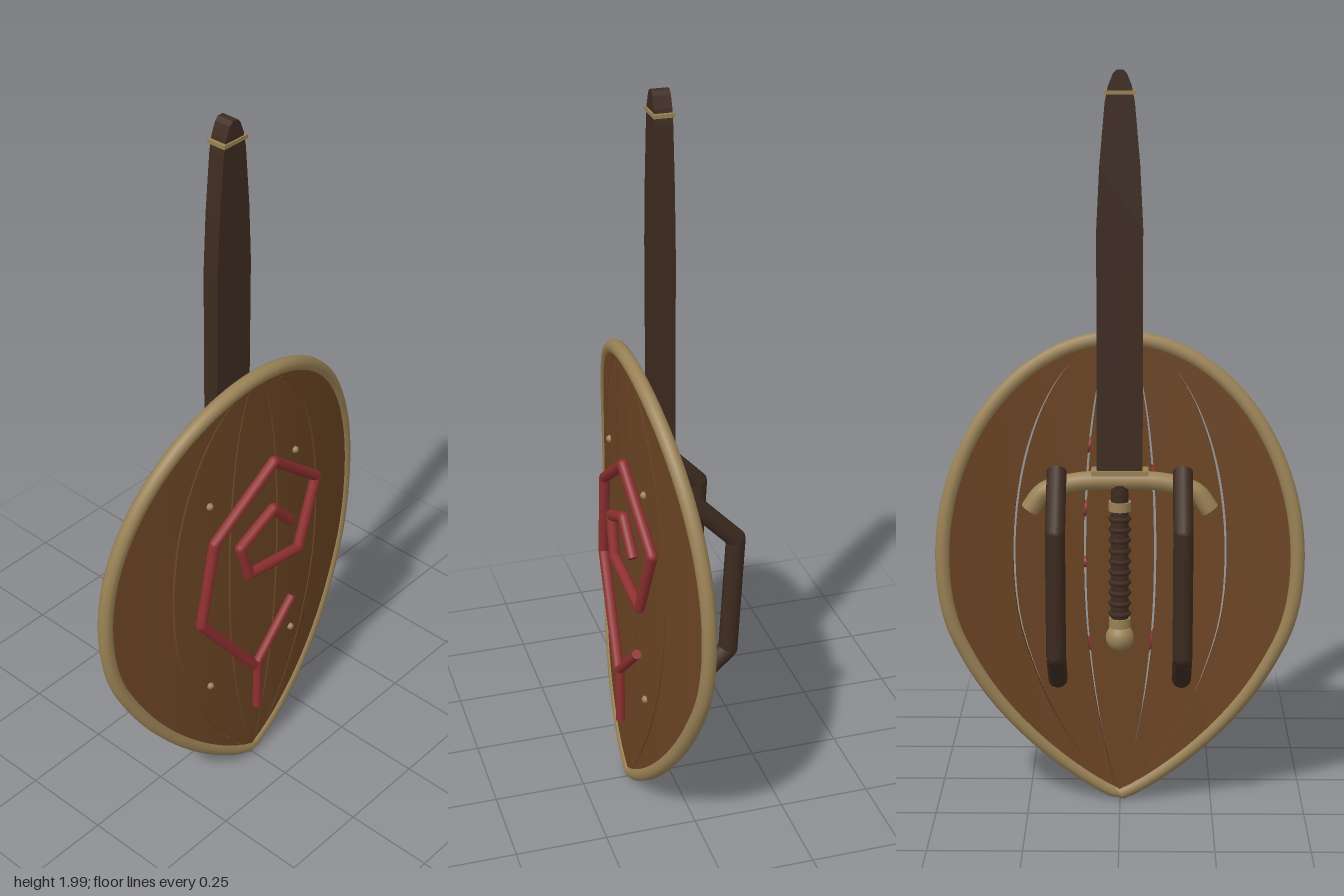
import * as THREE from 'three';
import { toCreasedNormals } from 'three/addons/utils/BufferGeometryUtils.js';

const makeMat = (name, color) => {
  const m = new THREE.MeshStandardMaterial({ color });
  m.name = name;
  return m;
};
const V = (x, y, z) => new THREE.Vector3(x, y, z);

// Shield outline half-width at angle a (-PI/2 bottom .. PI/2 top), and its sideways bow
const MID = 0.72, HALF = 0.472;
const outline = (a) => {
  const c = Math.max(0, Math.cos(a)), s = Math.sin(a);
  return s >= 0
    ? { x: HALF * c, y: MID + 0.585 * s }
    : { x: HALF * Math.pow(c, 1 + 0.7 * Math.min(1, -s * 2.5)), y: MID + 0.69 * s };
};
const bow = (x) => 0.11 - 0.33 * x * x;

// One curved plank between two fractions of the shield width
function plankGeometry(u0, u1) {
  const rows = 40, cols = 6, t = 0.012, ring = 2 * (cols + 1);
  const pos = [], idx = [];
  for (let i = 0; i <= rows; i++) {
    const o = outline((-0.485 + 0.97 * i / rows) * Math.PI);
    for (let j = 0; j < ring; j++) {
      const front = j <= cols;
      const f = front ? j / cols : (ring - 1 - j) / cols;
      const x = o.x * (u0 + (u1 - u0) * f);
      pos.push(x, o.y, bow(x) + (front ? t : -t));
    }
  }
  for (let i = 0; i < rows; i++) {
    for (let j = 0; j < ring; j++) {
      const a = i * ring + j, b = i * ring + (j + 1) % ring;
      idx.push(a, b, b + ring, a, b + ring, a + ring);
    }
  }
  const g = new THREE.BufferGeometry();
  g.setAttribute('position', new THREE.Float32BufferAttribute(pos, 3));
  g.setIndex(idx);
  return toCreasedNormals(g, 0.6);
}

export function createModel() {
  const wood = makeMat('shield wood', 0x6b4423);
  const bone = makeMat('pale trim', 0x9a8256);
  const leather = makeMat('dark leather', 0x3d2b20);
  const red = makeMat('red paint', 0x8e3030);

  const model = new THREE.Group();
  model.name = 'shieldAndSword';
  const group = (name) => {
    const g = new THREE.Group();
    g.name = name;
    model.add(g);
    return g;
  };
  const add = (parent, name, geo, mat, x = 0, y = 0, z = 0) => {
    const m = new THREE.Mesh(geo, mat);
    m.name = name;
    m.position.set(x, y, z);
    parent.add(m);
    return m;
  };
  // Straight round bar between two points
  const rod = (parent, name, a, b, r, mat, sides = 12) => {
    const d = b.clone().sub(a);
    const m = add(parent, name, new THREE.CylinderGeometry(r, r, d.length(), sides), mat);
    m.position.copy(a).addScaledVector(d, 0.5);
    m.quaternion.setFromUnitVectors(V(0, 1, 0), d.normalize());
  };
  // Bars joined by round elbows
  const polyRod = (parent, name, pts, r, mat) => {
    for (let i = 0; i < pts.length - 1; i++) {
      rod(parent, name, pts[i], pts[i + 1], r, mat);
      if (i > 0) add(parent, name + 'Elbow', new THREE.SphereGeometry(r, 12, 8), mat, ...pts[i].toArray());
    }
  };

  // Shield planks with narrow gaps
  const shield = group('shield');
  const seams = [-1, -0.6, -0.2, 0.2, 0.6, 1];
  for (let i = 0; i < 5; i++) {
    add(shield, 'plank', plankGeometry(seams[i] + 0.007, seams[i + 1] - 0.007), wood);
  }

  // Rim
  const rimPts = [];
  for (let i = 0; i < 64; i++) {
    const a = i / 64 * Math.PI * 2;
    const side = Math.cos(a) >= 0 ? 1 : -1;
    const o = outline(Math.asin(Math.sin(a)));
    rimPts.push(V(side * o.x, o.y, bow(o.x)));
  }
  const rimCurve = new THREE.CatmullRomCurve3(rimPts, true);
  add(shield, 'rim', new THREE.TubeGeometry(rimCurve, 128, 0.02, 10, true), bone);

  // Rivets
  for (const x of [-0.165, 0.165]) {
    for (const y of [0.38, 1.0]) {
      add(shield, 'rivet', new THREE.SphereGeometry(0.01, 10, 8), bone, x, y, bow(x) + 0.014);
    }
  }

  // Raised spiral emblem following the bowed face
  const emblem = group('spiralEmblem');
  const onFace = ([x, y]) => V(x, y, bow(x) + 0.03);
  const spiral = [[-0.015, 0.37], [-0.21, 0.635], [-0.165, 0.885], [0.053, 1.035], [0.25, 0.868],
    [0.17, 0.672], [-0.04, 0.712], [-0.073, 0.82], [0.053, 0.88], [0.127, 0.797]];
  polyRod(emblem, 'spiralBar', spiral.map(onFace), 0.015, red);
  polyRod(emblem, 'forkBar', [[0, 0.21], [0, 0.375], [0.148, 0.515]].map(onFace), 0.013, red);

  // Carrying handles on the back
  for (const x of [-0.165, 0.165]) {
    const pts = [[0.97, 0], [0.835, -0.132], [0.5, -0.115], [0.4, -0.005]].map(([y, z]) => V(x, y, z));
    polyRod(group('backHandle'), 'handleBar', pts, 0.026, leather);
  }

  // Scabbard, point up
  const sword = group('sword');
  const Z = 0.023;
  const half = [[0.06, 0.96], [0.06, 1.6], [0.052, 1.76], [0.038, 1.92], [0.03, 1.96], [0.018, 1.99], [0.008, 2.0]];
  const outlinePts = [...half, ...half.map(([x, y]) => [-x, y]).reverse()];
  const blade = new THREE.Shape(outlinePts.map(([x, y]) => new THREE.Vector2(x, y)));
  add(sword, 'scabbard', new THREE.ExtrudeGeometry(blade, { depth: 0.046, bevelEnabled: false }), leather, 0, 0, Z - 0.023);
  add(sword, 'scabbardMouth', new THREE.BoxGeometry(0.15, 0.014, 0.056), bone, 0, 0.963, Z);
  add(sword, 'scabbardTipBand', new THREE.BoxGeometry(0.082, 0.01, 0.054), bone, 0, 1.945, Z);

  // Drooping crossguard
  const guard = new THREE.CatmullRomCurve3(
    [[-0.238, 0.86], [-0.2, 0.91], [-0.11, 0.936], [0, 0.94], [0.11, 0.936], [0.2, 0.91], [0.238, 0.86]]
      .map(([x, y]) => V(x, y, Z)));
  add(sword, 'crossguard', new THREE.TubeGeometry(guard, 32, 0.025, 12), bone);
  for (const [a, b] of [[0, 0.03], [1, 0.97]]) {
    rod(sword, 'crossguardEnd', guard.getPointAt(a), guard.getPointAt(b), 0.025, bone);
  }

  // Wrapped grip, ferrule and pommel
  add(sword, 'grip', new THREE.CylinderGeometry(0.024, 0.024, 0.4, 14), leather, 0, 0.73, Z);
  for (let i = 0; i < 10; i++) {
    const wrap = add(sword, 'gripWrap', new THREE.TorusGeometry(0.024, 0.007, 6, 16), leather, 0, 0.575 + i * 0.029, Z);
    wrap.rotation.x = Math.PI / 2;
  }
  add(sword, 'ferrule', new THREE.CylinderGeometry(0.03, 0.03, 0.025, 14), bone, 0, 0.87, Z);
  add(sword, 'pommelCollar', new THREE.CylinderGeometry(0.029, 0.029, 0.025, 14), bone, 0, 0.55, Z);
  add(sword, 'pommel', new THREE.SphereGeometry(0.038, 18, 14), bone, 0, 0.508, Z);

  return model;
}
